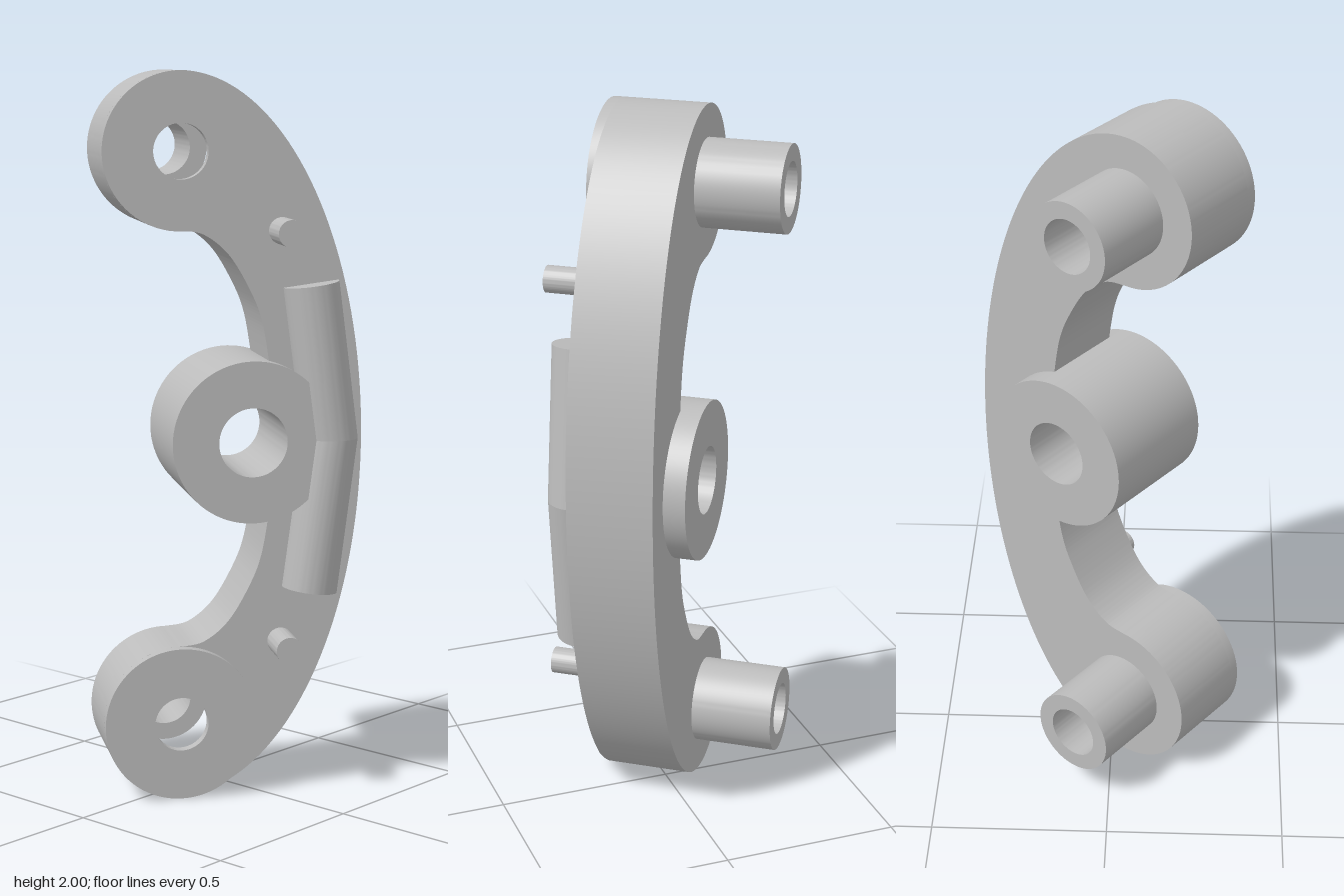
import * as THREE from 'three';
import { toCreasedNormals } from 'three/addons/utils/BufferGeometryUtils.js';

export function createModel() {
  const model = new THREE.Group();
  model.name = 'curvedBracket';
  const grey = new THREE.MeshStandardMaterial({ color: 0xbcbcbc });
  grey.name = 'plainGrey';

  // the bracket is drawn in its own plane, then turned about y
  const bracket = new THREE.Group();
  bracket.name = 'bracket';
  bracket.rotation.y = 0.9316;
  model.add(bracket);

  const BACK = -0.083, FACE = 0.158;
  const END_X = -0.108, END_R = 0.213, HOLE_R = 0.075;
  const endYs = [END_R, 2 - END_R];

  const add = (name, geometry) => {
    const mesh = new THREE.Mesh(toCreasedNormals(geometry, 0.6), grey);
    mesh.name = name;
    bracket.add(mesh);
  };
  const extrude = (shape, z0, z1) => new THREE.ExtrudeGeometry(shape, {
    depth: z1 - z0, bevelEnabled: false, curveSegments: 40,
  }).translate(0, 0, z0);
  const hole = (x, y, r) => new THREE.Path().absarc(x, y, r, 0, Math.PI * 2, true);

  // round boss between two depths, with an optional bore
  const boss = (name, x, y, r, bore, z0, z1) => {
    const s = new THREE.Shape().absarc(x, y, r, 0, Math.PI * 2, false);
    if (bore) s.holes.push(hole(x, y, bore));
    add(name, extrude(s, z0, z1));
  };

  // crescent plate: elliptical outer edge, round ends, curved inner edge
  const H = Math.PI / 2;
  const inner = [[-0.04, 0.438], [0.03, 0.495], [0.09, 0.595], [0.122, 0.68], [0.143, 0.8]];
  const up = inner.map(([x, y]) => new THREE.Vector2(x, y));
  const down = inner.map(([x, y]) => new THREE.Vector2(x, 2 - y)).reverse();
  const plate = new THREE.Shape();
  plate.absellipse(END_X, 1, 0.51, 1, H, -H, true);
  plate.absarc(END_X, endYs[0], END_R, -H, -3 * H, true);
  plate.splineThru(up);
  plate.lineTo(0.22, 0.9); // relief around the middle bore, inside the middle boss
  plate.lineTo(0.24, 1);
  plate.lineTo(0.22, 1.1);
  plate.lineTo(down[0].x, down[0].y);
  plate.splineThru([...down.slice(1), new THREE.Vector2(END_X, endYs[1] - END_R)]);
  plate.absarc(END_X, endYs[1], END_R, -H, -3 * H, true);
  endYs.forEach((y) => plate.holes.push(hole(END_X, y, HOLE_R)));
  add('plate', extrude(plate, BACK, FACE));

  // middle boss
  boss('middleBoss', 0.086, 1, 0.223, 0.095, -0.145, 0.215);

  // raised rings, rear tubes and pins at both ends
  endYs.forEach((y) => {
    boss('endBoss', END_X, y, END_R, HOLE_R, FACE, 0.188);
    boss('rearTube', END_X, y, 0.122, HOLE_R, -0.318, BACK);
  });
  [0.43, 1.57].forEach((y) => boss('pin', 0.176, y, 0.037, 0, FACE - 0.005, 0.277));

  // half-round rib in two leaning halves that meet in the middle
  const L = 0.425;
  [1, -1].forEach((side) => {
    const g = new THREE.CylinderGeometry(0.077, 0.077, L, 32, 1, false, -H, Math.PI);
    g.translate(0, side * L / 2, 0);
    const p = g.attributes.position;
    for (let i = 0; i < p.count; i++) {
      const x = p.getX(i), y = p.getY(i);
      p.setX(i, x + 0.313 - 0.056 * Math.abs(y) / L);
      p.setY(i, 1 + y * (1 + 0.13 * x / L));
    }
    g.translate(0, 0, FACE);
    add('rib', g);
  });

  return model;
}
